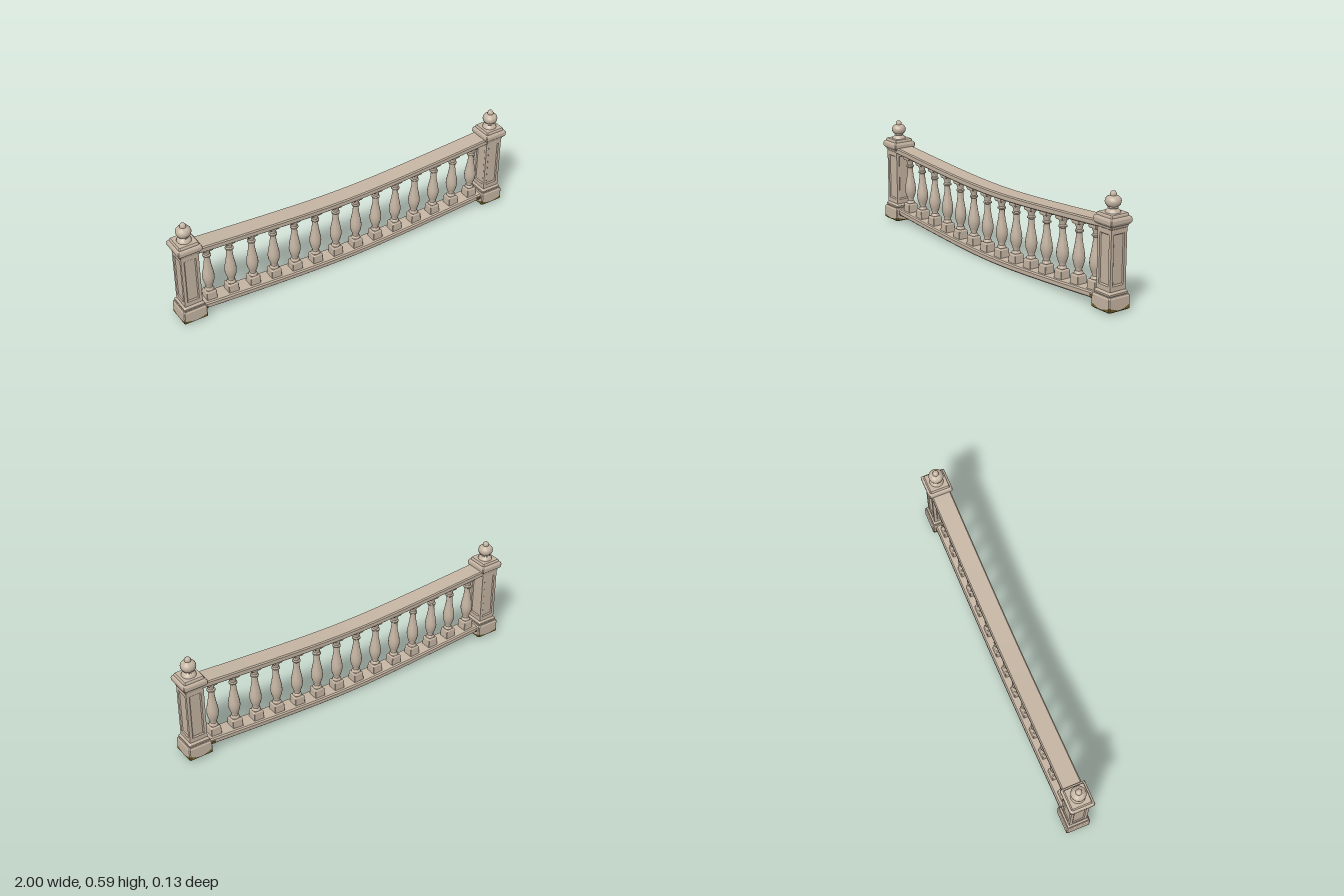
import * as THREE from 'three';
import { toCreasedNormals } from 'three/addons/utils/BufferGeometryUtils.js';

const POST_X = 0.933;
const stone = new THREE.MeshStandardMaterial({ color: 0xc4b4a2 });
stone.name = 'stone';
const moss = new THREE.MeshStandardMaterial({ color: 0x6c5c28, side: THREE.DoubleSide });
moss.name = 'moss';

const mesh = (name, geometry, material = stone) => {
  const m = new THREE.Mesh(geometry, material);
  m.name = name;
  return m;
};
const points = (list) => list.map(([r, y]) => new THREE.Vector2(r, y));

// Rise of the sagging rails above their lowest point
const sag = (x) => {
  const t = x / 0.87;
  return 0.045 * (Math.sqrt(t * t + 0.16) - 0.4) / 0.677;
};

// Turned part with crisp rings
const turned = (profile, sides) =>
  toCreasedNormals(new THREE.LatheGeometry(points(profile), sides), 0.7);

// Square moulding with clipped corners, from [half width, y] pairs
function squareMoulding(profile, clip) {
  const g = new THREE.LatheGeometry(points(profile), 8, Math.PI / 8);
  const p = g.attributes.position;
  for (let i = 0; i < p.count; i++) {
    const x = p.getX(i), z = p.getZ(i);
    const r = profile[i % profile.length][0], s = Math.max(0, r - clip);
    const wide = Math.abs(x) > Math.abs(z);
    p.setX(i, Math.sign(x) * (wide ? r : s));
    p.setZ(i, Math.sign(z) * (wide ? s : r));
  }
  return toCreasedNormals(g, 0.3);
}

// One side of the shaft: nested rectangles [half width, bottom, top, depth]
function panelSide() {
  const rects = [
    [0.049, 0.1, 0.425, 0.049], [0.033, 0.136, 0.392, 0.049],
    [0.028, 0.143, 0.388, 0.044], [0.025, 0.148, 0.384, 0.0445],
  ];
  const pos = [], index = [];
  for (const [w, b, t, z] of rects) pos.push(-w, b, z, w, b, z, w, t, z, -w, t, z);
  for (let k = 0; k < rects.length - 1; k++) {
    for (let i = 0; i < 4; i++) {
      const a = k * 4 + i, b = k * 4 + (i + 1) % 4;
      index.push(a, b, b + 4, a, b + 4, a + 4);
    }
  }
  const c = (rects.length - 1) * 4;
  index.push(c, c + 1, c + 2, c, c + 2, c + 3);
  const g = new THREE.BufferGeometry();
  g.setAttribute('position', new THREE.Float32BufferAttribute(pos, 3));
  g.setIndex(index);
  const flat = g.toNonIndexed();
  flat.computeVertexNormals();
  return flat;
}

// Ragged moss, higher at the corners than in the middle
function mossPatch(seed, growth) {
  let s = seed;
  const random = () => (s = (s * 16807) % 2147483647) / 2147483647;
  const shape = new THREE.Shape();
  shape.moveTo(-0.061, 0.017);
  shape.lineTo(0.061, 0.017);
  for (let i = 0; i <= 20; i++) {
    const u = 1 - i / 10;
    shape.lineTo(u * 0.061, 0.019 + growth * Math.abs(u) ** 1.5 * (0.015 + 0.009 * random()));
  }
  return new THREE.ShapeGeometry(shape);
}

function makePost(seed, growth) {
  const post = new THREE.Group();
  post.add(
    mesh('baseUnderside', squareMoulding([[0, 0.012], [0.045, 0.012]], 0.012)),
    mesh('mossyBaseEdge', squareMoulding([[0.045, 0.012], [0.061, 0.012], [0.066, 0.018]], 0.005), moss),
    mesh('base', squareMoulding([[0.066, 0.018], [0.066, 0.079], [0.061, 0.088], [0, 0.088]], 0.005)),
    mesh('baseMoulding', squareMoulding([
      [0.054, 0.087], [0.058, 0.092], [0.058, 0.1], [0.054, 0.106], [0.049, 0.111]], 0.003)),
    mesh('cap', squareMoulding([
      [0.049, 0.417], [0.053, 0.42], [0.056, 0.432], [0.062, 0.437], [0.067, 0.446], [0.067, 0.462],
      [0.063, 0.47], [0.056, 0.474], [0.055, 0.482], [0.051, 0.488], [0, 0.488]], 0.004)),
    mesh('finial', turned([
      [0.038, 0.487], [0.036, 0.495], [0.028, 0.503], [0.023, 0.507], [0.027, 0.511], [0.024, 0.516],
      [0.032, 0.521], [0.038, 0.53], [0.04, 0.542], [0.037, 0.554], [0.029, 0.563], [0.016, 0.569],
      [0.0165, 0.575], [0.0145, 0.583], [0.009, 0.589], [0, 0.592]], 20)),
  );
  for (let i = 0; i < 4; i++) {
    const side = new THREE.Group();
    side.name = 'postSide';
    side.rotation.y = i * Math.PI / 2;
    const patch = mesh('mossPatch', mossPatch(seed + i * 977, growth), moss);
    patch.position.z = 0.0665;
    // Moss on the clipped corner beside this face
    const corner = mesh('mossCorner', new THREE.PlaneGeometry(0.0075, 0.021 * growth), moss);
    corner.position.set(0.0638, 0.017 + 0.0105 * growth, 0.0638);
    corner.rotation.y = Math.PI / 4;
    side.add(mesh('shaftPanel', panelSide()), patch, corner);
    post.add(side);
  }
  return post;
}

// Chamfered bar swept from x0 to x1 and bent along the sag
function makeBar(name, [x0, x1], halfDepth, bottom, top, c, material = stone) {
  const w = halfDepth, length = x1 - x0;
  const shape = new THREE.Shape(points([
    [-w + c, bottom], [w - c, bottom], [w, bottom + c], [w, top - c],
    [w - c, top], [-w + c, top], [-w, top - c], [-w, bottom + c]]));
  const g = new THREE.ExtrudeGeometry(shape, {
    depth: length, steps: Math.ceil(length * 18), bevelEnabled: false,
  });
  g.rotateY(Math.PI / 2);
  g.translate(x0, 0, 0);
  const p = g.attributes.position;
  for (let i = 0; i < p.count; i++) p.setY(i, p.getY(i) + sag(p.getX(i)));
  return mesh(name, toCreasedNormals(g, 0.4), material);
}

export function createModel() {
  const model = new THREE.Group();
  model.name = 'balustrade';

  // End posts
  for (const side of [-1, 1]) {
    const post = side > 0 ? makePost(421, 1) : makePost(8713, 0.75);
    post.name = side > 0 ? 'leftPost' : 'rightPost';
    post.position.x = side * POST_X;
    model.add(post);
  }

  // Rails, with moss around the lower rail where it meets the posts
  model.add(
    makeBar('topRail', [-0.89, 0.89], 0.053, 0.366, 0.4, 0.006),
    makeBar('bottomRail', [-0.89, 0.89], 0.05, 0.002, 0.036, 0.007),
    makeBar('leftRailMoss', [0.838, 0.88], 0.0512, 0.0008, 0.028, 0.007, moss),
    makeBar('rightRailMoss', [-0.88, -0.855], 0.0512, 0.0008, 0.02, 0.007, moss),
  );

  // Balusters, with shared geometry
  const block = squareMoulding([[0.03, 0.026], [0.028, 0.078], [0.022, 0.086], [0, 0.086]], 0.002);
  const vase = turned([
    [0.022, 0.083], [0.024, 0.09], [0.022, 0.096], [0.017, 0.101], [0.017, 0.109], [0.022, 0.122],
    [0.029, 0.145], [0.0315, 0.165], [0.03, 0.187], [0.025, 0.215], [0.0195, 0.245], [0.016, 0.275],
    [0.0155, 0.296], [0.022, 0.301], [0.022, 0.308], [0.016, 0.313], [0.017, 0.325], [0.023, 0.338],
    [0.024, 0.345]], 16);
  const abacus = squareMoulding([[0, 0.341], [0.025, 0.341], [0.028, 0.348], [0.028, 0.375]], 0.002);
  for (let i = 0; i < 14; i++) {
    const baluster = new THREE.Group();
    baluster.name = 'baluster';
    const x = (i - 6.5) * 0.126;
    baluster.position.set(x, sag(x), 0);
    baluster.add(mesh('block', block), mesh('vase', vase), mesh('abacus', abacus));
    model.add(baluster);
  }
  return model;
}
